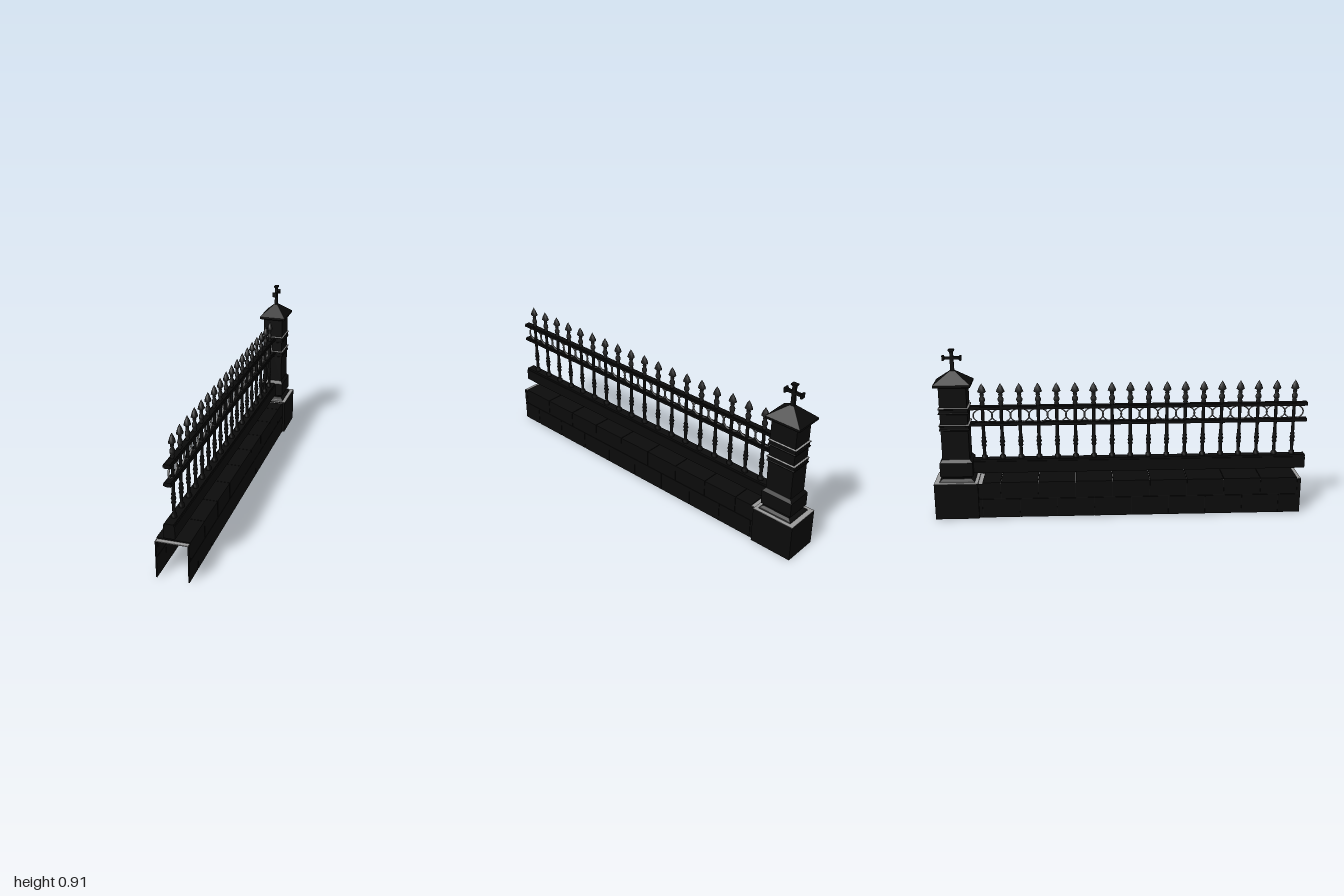
import * as THREE from 'three';

const iron = new THREE.MeshStandardMaterial({ color: 0x0b0b0b });
iron.name = 'black';
const spear = new THREE.MeshStandardMaterial({ color: 0x1c1c1c });
spear.name = 'charcoal';
const ringGrey = new THREE.MeshStandardMaterial({ color: 0x666666 });
ringGrey.name = 'mid grey';
const stone = new THREE.MeshStandardMaterial({ color: 0x9a9a9a });
stone.name = 'light grey';
const sheet = new THREE.MeshStandardMaterial({ color: 0x101010, side: THREE.DoubleSide });
sheet.name = 'mortar black';

const PZ = -0.88;      // pillar centre
const DEPTH = 1.26;    // pillar depth relative to its width

function add(parent, name, geo, mat, x = 0, y = 0, z = 0) {
  const m = new THREE.Mesh(geo, mat);
  m.name = name;
  m.position.set(x, y, z);
  parent.add(m);
  return m;
}

// box given by its bounds
function block(parent, name, mat, x0, x1, y0, y1, z0, z1) {
  return add(parent, name, new THREE.BoxGeometry(x1 - x0, y1 - y0, z1 - z0), mat,
    (x0 + x1) / 2, (y0 + y1) / 2, (z0 + z1) / 2);
}

// rectangular tower from [half width, y] pairs, flat faced
function squareStack(profile, depth = DEPTH) {
  const pts = profile.map(([h, y]) => new THREE.Vector2(h * Math.SQRT2, y));
  const g = new THREE.LatheGeometry(pts, 4, Math.PI / 4).toNonIndexed();
  g.scale(1, 1, depth);
  g.computeVertexNormals();
  return g;
}

function makePillar() {
  const p = new THREE.Group();
  p.name = 'pillar';
  block(p, 'plinth', iron, -0.095, 0.095, 0, 0.198, -1, -0.768);
  block(p, 'plinthLedge', stone, -0.095, 0.095, 0.198, 0.2, -1, -0.768);
  add(p, 'shaft', squareStack([
    [0.075, 0.2], [0.072, 0.207], [0.06, 0.217], [0.06, 0.225], [0.069, 0.232],
    [0.069, 0.308], [0.057, 0.325], [0.057, 0.722],
  ]), iron, 0, 0, PZ);
  // moulded bands with pale bevels
  for (const [a, b] of [[0.482, 0.518], [0.572, 0.61]]) {
    add(p, 'band', squareStack([[0.057, a], [0.063, a + 0.004], [0.063, a + 0.009],
      [0.06, a + 0.011], [0.06, b - 0.011], [0.063, b - 0.009], [0.063, b - 0.004]]), iron, 0, 0, PZ);
    add(p, 'bandBevel', squareStack([[0.063, b - 0.004], [0.057, b]]), stone, 0, 0, PZ);
  }
  add(p, 'roof', squareStack([
    [0, 0.72], [0.074, 0.72], [0.077, 0.724], [0.077, 0.735], [0.01, 0.797], [0, 0.797],
  ]), iron, 0, 0, PZ);
  // cross finial with flared ends
  add(p, 'crossPost', squareStack([
    [0.008, 0.79], [0.007, 0.895], [0.012, 0.903], [0.012, 0.91], [0, 0.91],
  ]), iron, 0, 0, PZ);
  const arm = squareStack([
    [0, -0.05], [0.013, -0.05], [0.013, -0.042], [0.007, -0.035],
    [0.007, 0.035], [0.013, 0.042], [0.013, 0.05], [0, 0.05],
  ], 1);
  add(p, 'crossArm', arm, iron, 0, 0.864, PZ).rotation.x = Math.PI / 2;
  return p;
}

function makeWall() {
  const w = new THREE.Group();
  w.name = 'wall';
  const z0 = -0.768, z1 = 0.972, len = z1 - z0, mid = (z0 + z1) / 2;
  // hollow core, open below and at the end
  for (const s of [-1, 1]) {
    const side = new THREE.PlaneGeometry(len, 0.195);
    add(w, 'wallSide', side, sheet, s * 0.078, 0.0975, mid).rotation.y = s * Math.PI / 2;
  }
  block(w, 'wallTopSlab', stone, -0.079, 0.079, 0.19, 0.194, z0, z1);
  // stone courses on both sides, staggered
  const gap = 0.0025, pitch = 0.2;
  const courses = [[0, 0.105, 0.85], [0.108, 0.192, 0.95]];
  for (const [y0, y1, start] of courses) {
    for (let e = start + pitch; e > z0; e -= pitch) {
      const a = Math.max(z0, e - pitch + gap), b = Math.min(z1, e);
      if (b - a < 0.005) continue;
      block(w, 'stoneRight', iron, -0.082, -0.076, y0, y1, a, b);
      block(w, 'stoneLeft', iron, 0.076, 0.082, y0, y1, a, b);
    }
  }
  // coping stones
  for (let e = 0.95; e > -0.74; e -= pitch) {
    block(w, 'copingStone', iron, -0.082, 0.082, 0.192, 0.2, Math.max(-0.745, e - pitch + gap), e);
  }
  return w;
}

function makeFence() {
  const f = new THREE.Group();
  f.name = 'fence';
  block(f, 'baseBeam', iron, -0.028, 0.028, 0.236, 0.3, -0.82, 1);
  block(f, 'beamCap', iron, -0.023, 0.023, 0.3, 0.31, -0.82, 1);
  for (const y of [0.505, 0.594]) {
    block(f, 'rail', iron, -0.019, 0.019, y - 0.006, y + 0.006, -0.82, 1);
    block(f, 'railCore', iron, -0.014, 0.014, y - 0.01, y + 0.01, -0.82, 1);
  }
  const lathe = (pts, n) => new THREE.LatheGeometry(pts.map(([r, y]) => new THREE.Vector2(r, y)), n);
  const bar = lathe([
    [0.016, 0.31], [0.016, 0.325], [0.009, 0.332], [0.009, 0.375], [0.014, 0.385], [0.01, 0.394],
    [0.015, 0.405], [0.01, 0.418], [0.013, 0.426], [0.009, 0.435], [0.009, 0.61],
  ], 10).scale(0.85, 1, 1);
  const head = lathe([
    [0.009, 0.605], [0.014, 0.613], [0.01, 0.62], [0.016, 0.632], [0.016, 0.642], [0.009, 0.655],
    [0.012, 0.664], [0.009, 0.671], [0.023, 0.68], [0.014, 0.703], [0, 0.726],
  ], 8).scale(0.75, 1, 1);
  const ring = new THREE.TorusGeometry(1, 0.075, 6, 28).rotateY(Math.PI / 2).scale(0.07, 0.037, 0.051);
  for (let i = 0; i < 18; i++) {
    const z = 0.93 - i * 0.0979;
    add(f, 'picket', bar, iron, 0, 0, z);
    add(f, 'spearHead', head, spear, 0, 0, z);
    add(f, 'ring', ring, ringGrey, 0, 0.549, z);
  }
  return f;
}

export function createModel() {
  const model = new THREE.Group();
  model.name = 'cemeteryFence';
  model.add(makePillar(), makeWall(), makeFence());
  return model;
}
